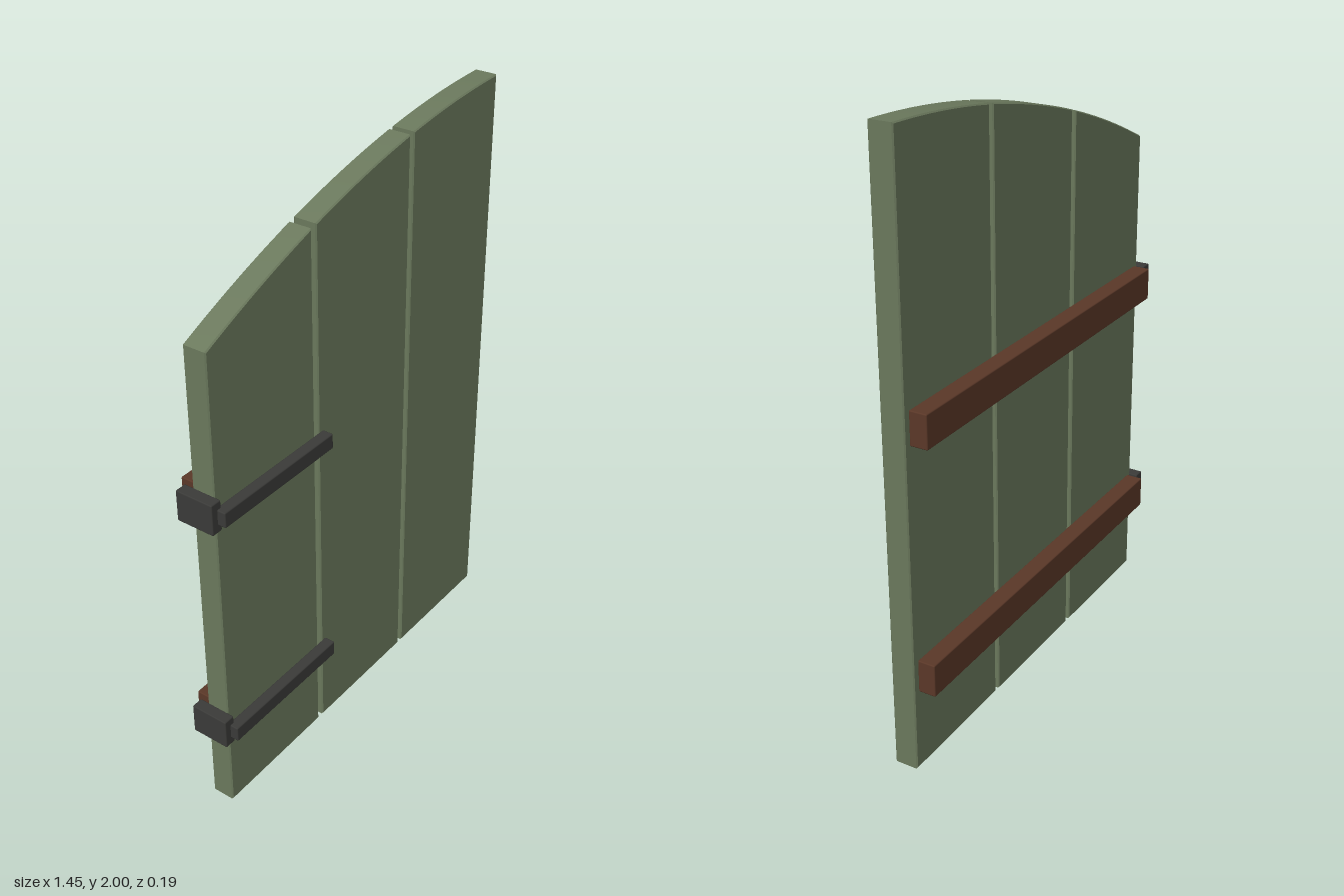
import * as THREE from 'three';
import { toCreasedNormals } from 'three/addons/utils/BufferGeometryUtils.js';
import { RoundedBoxGeometry } from 'three/addons/geometries/RoundedBoxGeometry.js';

const EDGE = 0.004; // small softened edge on every part

const paintedGreen = new THREE.MeshStandardMaterial({ color: 0x6b795d });
paintedGreen.name = 'paintedGreen';
const brownWood = new THREE.MeshStandardMaterial({ color: 0x5b3828 });
brownWood.name = 'brownWood';
const darkIron = new THREE.MeshStandardMaterial({ color: 0x3b3b39 });
darkIron.name = 'darkIron';

// Height of the arched top edge, highest at the free side of the shutter
function archHeight(x) {
  const d = 0.727 - x;
  return 2 - 0.0235 * d - 0.155 * d * d;
}

// Vertical board whose top follows the arch
function plank(x0, x1) {
  const shape = new THREE.Shape();
  shape.moveTo(x0, 0);
  shape.lineTo(x1, 0);
  const steps = 10;
  for (let i = 0; i <= steps; i++) {
    const x = x1 + (x0 - x1) * (i / steps);
    shape.lineTo(x, archHeight(x));
  }
  shape.closePath();
  const geometry = new THREE.ExtrudeGeometry(shape, {
    depth: 0.08 - 2 * EDGE,
    bevelEnabled: true,
    bevelThickness: EDGE,
    bevelSize: EDGE,
    bevelOffset: -EDGE,
    bevelSegments: 1,
  });
  geometry.translate(0, 0, -0.037 + EDGE);
  return new THREE.Mesh(toCreasedNormals(geometry, 0.5), paintedGreen);
}

// Softened bar given by its extents
function bar([x0, x1], [y0, y1], [z0, z1], material) {
  const geometry = new RoundedBoxGeometry(x1 - x0, y1 - y0, z1 - z0, 1, EDGE);
  const mesh = new THREE.Mesh(geometry, material);
  mesh.position.set((x0 + x1) / 2, (y0 + y1) / 2, (z0 + z1) / 2);
  return mesh;
}

export function createModel() {
  const model = new THREE.Group();
  model.name = 'archedShutter';
  const add = (name, mesh) => {
    mesh.name = name;
    model.add(mesh);
  };

  // Three boards with narrow gaps
  [-0.69, -0.21, 0.268].forEach((x, i) => add(`plank${i + 1}`, plank(x, x + 0.459)));

  // Lower and upper cross batten, each with a hinge and strap
  [['lower', 0.326], ['upper', 1.144]].forEach(([level, y]) => {
    add(`${level}Batten`, bar([-0.672, 0.703], [y - 0.055, y + 0.055], [-0.095, -0.035], brownWood));
    add(`${level}Hinge`, bar([-0.728, -0.688], [y - 0.052, y + 0.052], [-0.067, 0.065], darkIron));
    add(`${level}Strap`, bar([-0.705, -0.205], [y - 0.026, y + 0.026], [0.055, 0.093], darkIron));
  });

  return model;
}
